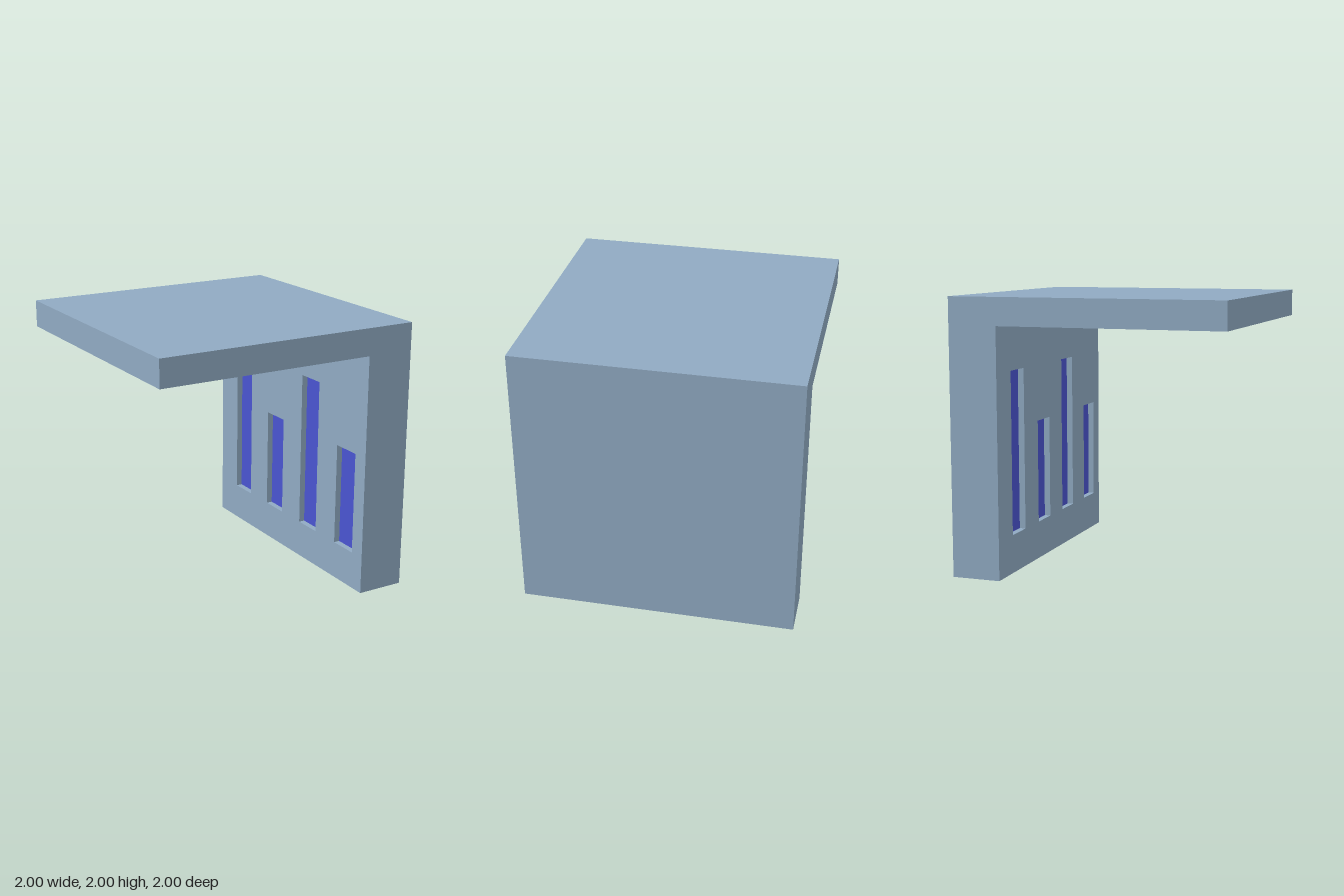
import * as THREE from 'three';

export function createModel() {
  const model = new THREE.Group();
  model.name = 'canopyWall';

  const stone = new THREE.MeshStandardMaterial({ color: 0x90aac2 });
  stone.name = 'greyBlue';
  const glass = new THREE.MeshStandardMaterial({ color: 0x4a54d0 });
  glass.name = 'deepBlue';

  const INNER = 0.64, RECESS = 0.05, ROOF = 1.8, SLOT_W = 0.225, SILL = 0.28;
  const backX = INNER + RECESS;

  const add = (name, geometry, material) => {
    const mesh = new THREE.Mesh(geometry, material);
    mesh.name = name;
    model.add(mesh);
    return mesh;
  };

  // Roof slab and wall core as one L-shaped profile
  const profile = new THREE.Shape([
    [backX, 0], [1, 0], [1, 2], [-1, 2], [-1, ROOF], [backX, ROOF],
  ].map(([x, y]) => new THREE.Vector2(x, y)));
  add('roofAndWall', new THREE.ExtrudeGeometry(profile, { depth: 2, bevelEnabled: false }), stone)
    .position.z = -1;

  // Inner wall layer, drawn in z and y, with alternating tall and short slots
  const rect = (shape, z0, y0, z1, y1) =>
    shape.moveTo(z0, y0).lineTo(z1, y0).lineTo(z1, y1).lineTo(z0, y1).closePath();
  const layer = rect(new THREE.Shape(), -1, 0, 1, ROOF);
  for (let i = 0; i < 4; i++) {
    const z = -0.762 + i * 0.472;
    const top = i % 2 ? 1.05 : 1.47;
    layer.holes.push(rect(new THREE.Path(), z, SILL, z + SLOT_W, top));

    // Thin window pane at the back of the slot
    add('windowPane' + (i + 1), new THREE.BoxGeometry(0.004, top - SILL, SLOT_W), glass)
      .position.set(backX - 0.002, (top + SILL) / 2, z + SLOT_W / 2);
  }
  const face = new THREE.ExtrudeGeometry(layer, { depth: RECESS, bevelEnabled: false });
  face.rotateY(-Math.PI / 2);
  add('slottedInnerWall', face, stone).position.x = backX;

  return model;
}
